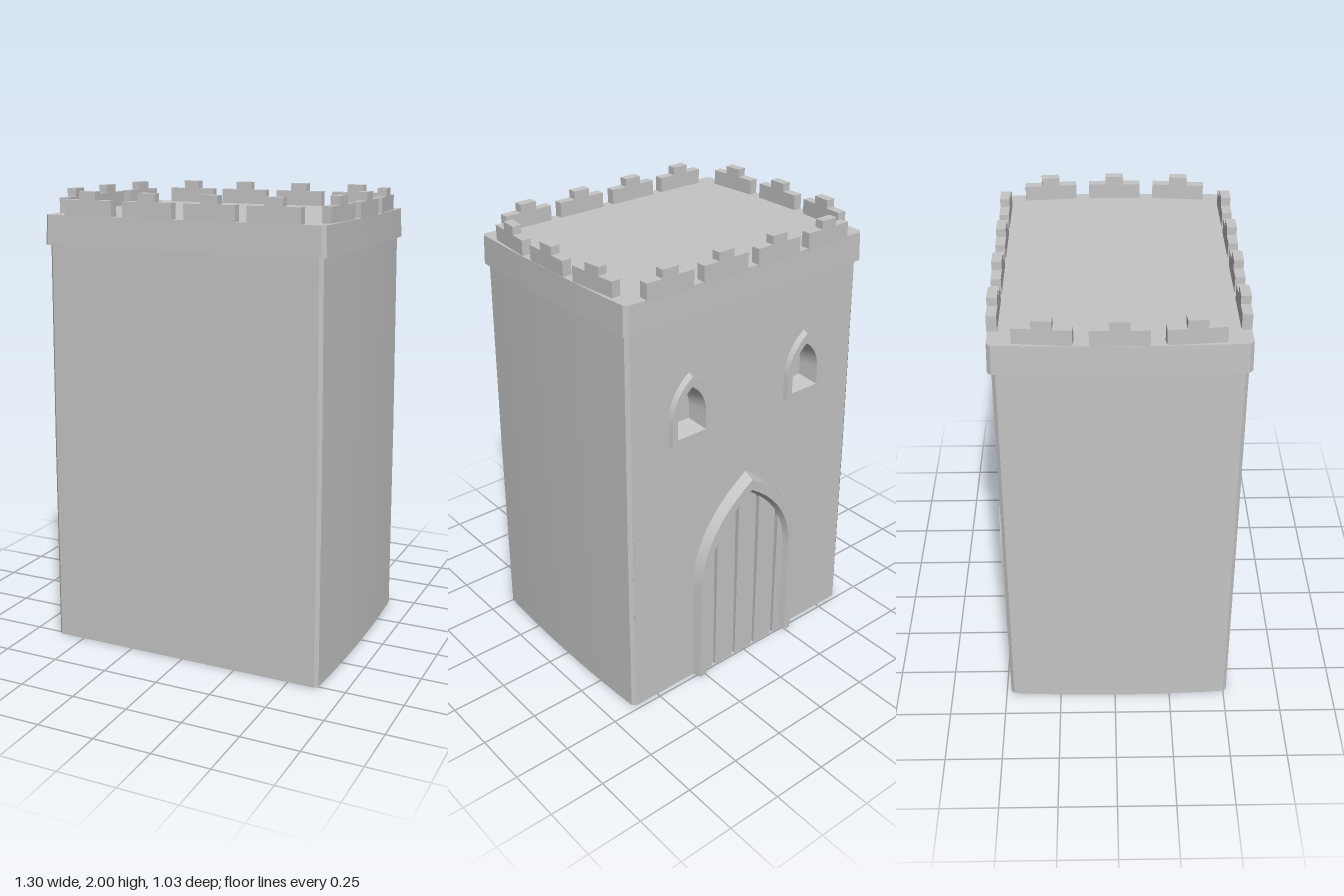
import * as THREE from 'three';
import { toCreasedNormals } from 'three/addons/utils/BufferGeometryUtils.js';

const stone = new THREE.MeshStandardMaterial({ color: 0xc4c4c4, side: THREE.DoubleSide });
stone.name = 'grey stone';

const BACK_LOW = -0.48, BACK_HIGH = -0.463, WALL_TOP = 1.79;

function add(parent, name, geometry) {
  const mesh = new THREE.Mesh(geometry, stone);
  mesh.name = name;
  parent.add(mesh);
  return mesh;
}

// Skin between rings of equal point count
function loft(rings, closed) {
  const pos = [];
  const n = rings[0].length;
  for (let r = 0; r < rings.length - 1; r++) {
    for (let i = 0; i < (closed ? n : n - 1); i++) {
      const j = (i + 1) % n;
      const a = rings[r][i], b = rings[r][j], c = rings[r + 1][j], d = rings[r + 1][i];
      for (const p of [a, d, c, a, c, b]) pos.push(p.x, p.y, p.z);
    }
  }
  const g = new THREE.BufferGeometry();
  g.setAttribute('position', new THREE.Float32BufferAttribute(pos, 3));
  return toCreasedNormals(g, 0.4);
}

// Plan outline: flat front and back, bulging sides, clipped corners; runs back left to back right
function planOutline(y, w, bulge, zBack, zFront) {
  const c = 0.015, mid = (zBack + zFront) / 2, half = (zFront - zBack) / 2 - c;
  const left = [new THREE.Vector3(w - c, y, zBack)];
  for (let i = 0; i <= 12; i++) {
    const t = i / 6 - 1;
    left.push(new THREE.Vector3(w + bulge * (1 - t * t), y, mid + t * half));
  }
  left.push(new THREE.Vector3(w - c, y, zFront));
  const right = left.map(p => new THREE.Vector3(-p.x, p.y, p.z)).reverse();
  return [...left, ...right];
}

// Height of a pointed arch (half width w, spring s, peak h) at x
function archHeight(x, w, s, h) {
  const t = Math.sqrt(Math.max(0, 1 - Math.abs(x) / w));
  const c = s + 0.62 * (h - s);
  return s * (1 - t) ** 2 + 2 * c * t * (1 - t) + h * t * t;
}

// Pointed arch outline from foot to foot
function arch(cx, z, w, y0, s, h) {
  const half = [new THREE.Vector3(w, y0, z)];
  for (let i = 0; i <= 10; i++) {
    const x = w * (1 - (i / 10) ** 2);
    half.push(new THREE.Vector3(x, archHeight(x, w, s, h), z));
  }
  const other = half.slice(0, -1).reverse().map(p => new THREE.Vector3(-p.x, p.y, p.z));
  return [...half, ...other].map(p => p.setX(p.x + cx));
}

const flat = pts => pts.map(p => new THREE.Vector2(p.x, p.y));

function merlon(parent, x, z, turn) {
  const g = new THREE.Group();
  g.name = 'merlon';
  add(g, 'merlonBase', new THREE.BoxGeometry(0.225, 0.075, 0.04)).position.y = 1.9275;
  add(g, 'merlonTop', new THREE.BoxGeometry(0.077, 0.035, 0.04)).position.y = 1.9825;
  g.position.set(x, 0, z);
  g.rotation.y = turn;
  parent.add(g);
}

export function createModel() {
  const tower = new THREE.Group();
  tower.name = 'tower';

  // Front and side walls, open underneath
  add(tower, 'frontAndSideWalls', loft([
    planOutline(0, 0.632, 0.016, BACK_LOW, 0.515),
    planOutline(0.9, 0.626, 0.015, (BACK_LOW + BACK_HIGH) / 2, 0.508),
    planOutline(WALL_TOP, 0.614, 0.014, BACK_HIGH, 0.5),
  ], false));

  // Back wall with window openings, leaning inwards
  const wall = new THREE.Shape([
    new THREE.Vector2(-0.617, 0), new THREE.Vector2(0.617, 0),
    new THREE.Vector2(0.599, WALL_TOP), new THREE.Vector2(-0.599, WALL_TOP),
  ]);
  const windowXs = [-0.315, 0.315];
  for (const x of windowXs) wall.holes.push(new THREE.Path(flat(arch(x, 0, 0.085, 1.25, 1.34, 1.5))));
  const wallGeo = new THREE.ShapeGeometry(wall);
  const p = wallGeo.attributes.position;
  for (let i = 0; i < p.count; i++) {
    p.setZ(i, THREE.MathUtils.lerp(BACK_LOW, BACK_HIGH, p.getY(i) / WALL_TOP));
  }
  wallGeo.computeVertexNormals();
  add(tower, 'backWall', wallGeo);

  // Cornice and roof
  const low = planOutline(1.775, 0.63, 0.012, -0.478, 0.513);
  const high = planOutline(1.9, 0.625, 0.012, -0.475, 0.51);
  add(tower, 'cornice', loft([low, high], true));
  for (const [name, ring] of [['corniceUnderside', low], ['roof', high]]) {
    const g = new THREE.ShapeGeometry(new THREE.Shape(ring.map(q => new THREE.Vector2(q.x, q.z))));
    g.rotateX(Math.PI / 2);
    add(tower, name, g).position.y = ring[0].y;
  }

  // Battlements
  for (const x of [-0.415, -0.14, 0.14, 0.415]) {
    merlon(tower, x, 0.49, 0);
    merlon(tower, x, -0.458, 0);
  }
  for (const side of [-1, 1]) {
    merlon(tower, side * 0.603, -0.268, side * (Math.PI / 2 + 0.085));
    merlon(tower, side * 0.615, 0.015, side * Math.PI / 2);
    merlon(tower, side * 0.603, 0.298, side * (Math.PI / 2 - 0.085));
  }

  // Recessed pointed windows
  for (const x of windowXs) {
    add(tower, 'windowFrame', loft([
      arch(x, -0.462, 0.108, 1.225, 1.34, 1.538),
      arch(x, -0.488, 0.1, 1.24, 1.34, 1.522),
      arch(x, -0.488, 0.073, 1.265, 1.34, 1.48),
      arch(x, -0.4, 0.056, 1.285, 1.345, 1.45),
    ], true));
    const pane = new THREE.Shape(flat(arch(x, 0, 0.056, 1.285, 1.345, 1.45)));
    add(tower, 'windowPane', new THREE.ShapeGeometry(pane)).position.z = -0.4;
  }

  // Door surround with feet closed off
  const frameRings = [
    arch(0, -0.468, 0.296, 0, 0.48, 0.965),
    arch(0, -0.518, 0.28, 0, 0.48, 0.94),
    arch(0, -0.518, 0.245, 0, 0.48, 0.89),
    arch(0, -0.468, 0.225, 0, 0.48, 0.86),
  ];
  add(tower, 'doorFrame', loft(frameRings, false));
  for (const side of [-1, 1]) {
    const foot = new THREE.Shape(frameRings.map(r => new THREE.Vector2(side * r[0].x, r[0].z)));
    add(tower, 'doorFrameFoot', new THREE.ShapeGeometry(foot).rotateX(Math.PI / 2));
  }

  // Door planks cut to the arch
  for (const [a, b] of [[-0.23, -0.19], [-0.17, -0.07], [-0.05, 0.05], [0.07, 0.17], [0.19, 0.23]]) {
    const pts = [new THREE.Vector2(a, 0), new THREE.Vector2(b, 0)];
    for (let i = 0; i <= 8; i++) {
      const x = b + (a - b) * i / 8;
      pts.push(new THREE.Vector2(x, archHeight(x, 0.232, 0.48, 0.87)));
    }
    const g = new THREE.ExtrudeGeometry(new THREE.Shape(pts), { depth: 0.022, bevelEnabled: false });
    add(tower, 'doorPlank', g).position.z = -0.493;
  }
  return tower;
}
